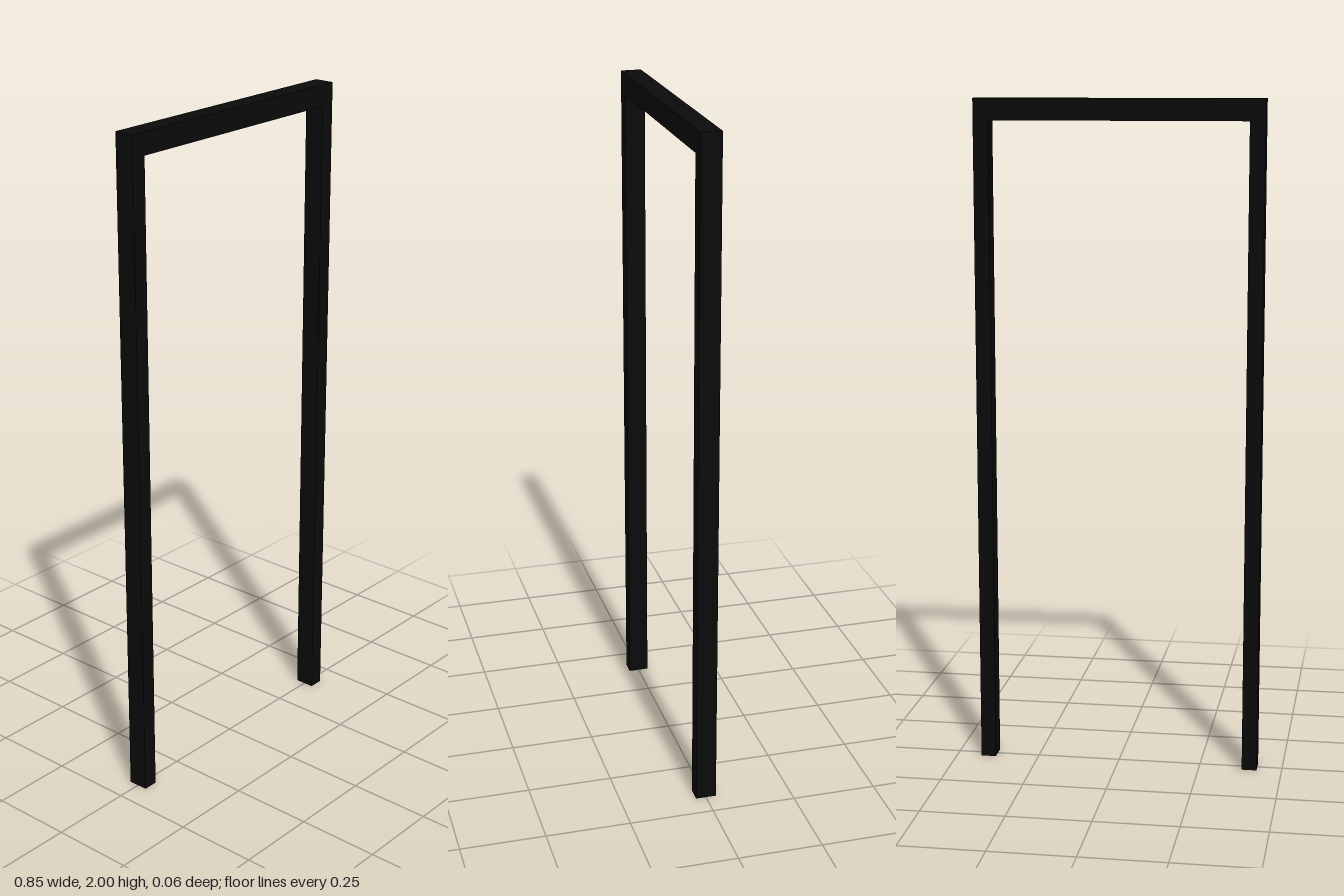
import * as THREE from 'three';

const WIDTH = 0.85, HEIGHT = 2, DEPTH = 0.061;
const JAMB = 0.045, HEAD = 0.064;

export function createModel() {
  const group = new THREE.Group();
  group.name = 'doorFrame';
  const material = new THREE.MeshStandardMaterial({ color: 0x0a0a0a });

  const addBox = (name, w, h, x, y) => {
    const mesh = new THREE.Mesh(new THREE.BoxGeometry(w, h, DEPTH), material);
    mesh.name = name;
    mesh.position.set(x, y, 0);
    group.add(mesh);
  };

  // Head beam across the full width
  addBox('headBeam', WIDTH, HEAD, 0, HEIGHT - HEAD / 2);

  // Upright posts under both ends of the beam
  const postHeight = HEIGHT - HEAD;
  for (const [name, side] of [['leftPost', 1], ['rightPost', -1]]) {
    addBox(name, JAMB, postHeight, side * (WIDTH - JAMB) / 2, postHeight / 2);
  }
  return group;
}
